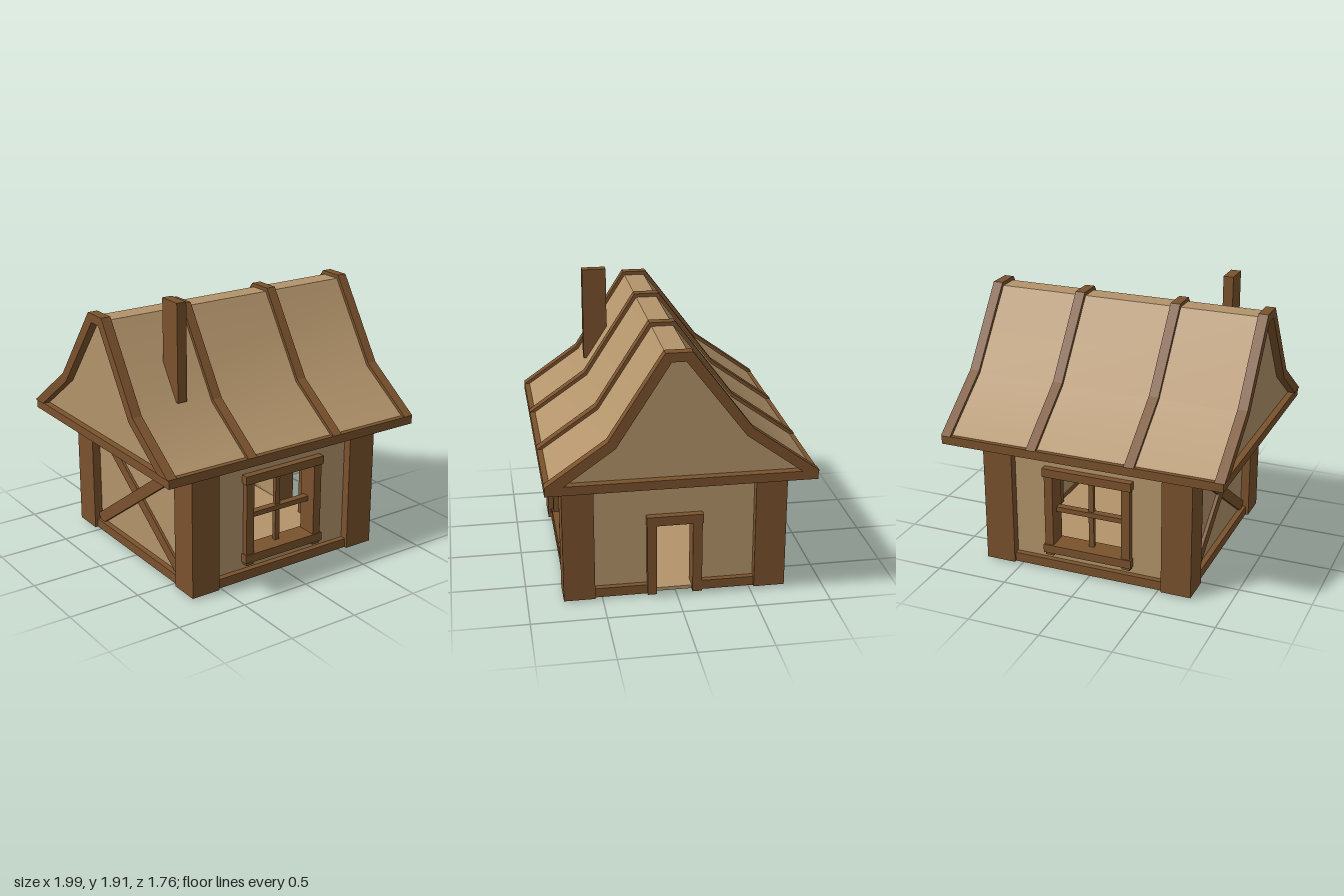
import * as THREE from 'three';
import { toCreasedNormals } from 'three/addons/utils/BufferGeometryUtils.js';

const wood = new THREE.MeshStandardMaterial({ color: 0x7a522d });
const plaster = new THREE.MeshStandardMaterial({ color: 0xb3946b });

function add(parent, name, geometry, material) {
  const mesh = new THREE.Mesh(geometry, material);
  mesh.name = name;
  parent.add(mesh);
  return mesh;
}

// Box given by its limits on each axis
function box(parent, name, [x0, x1], [y0, y1], [z0, z1], material = wood) {
  const mesh = add(parent, name, new THREE.BoxGeometry(x1 - x0, y1 - y0, z1 - z0), material);
  mesh.position.set((x0 + x1) / 2, (y0 + y1) / 2, (z0 + z1) / 2);
  return mesh;
}

const shapeOf = (points) => new THREE.Shape(points.map(([a, b]) => new THREE.Vector2(a, b)));

// Extrudes a (z, y) profile along x, centred on x = 0
function extrudeAlongX(points, width) {
  const g = new THREE.ExtrudeGeometry(shapeOf(points), { depth: width, bevelEnabled: false });
  g.translate(0, 0, -width / 2);
  return g.rotateY(-Math.PI / 2);
}

// One wall facing +z, with an optional opening, turned to its side of the house
function makeWall(name, angle, opening) {
  const side = new THREE.Group();
  side.name = name;
  side.rotation.y = angle;
  const door = opening === 'door';
  const outline = [[-0.66, 0.02], [0.66, 0.02], [0.66, 0.9], [-0.66, 0.9]];
  if (door) outline.splice(1, 0, [-0.14, 0.02], [-0.14, 0.53], [0.14, 0.53], [0.14, 0.02]);
  const shape = shapeOf(outline);
  if (opening === 'window') {
    shape.holes.push(new THREE.Path([[-0.27, 0.17], [-0.27, 0.72], [0.27, 0.72], [0.27, 0.17]]
      .map(([x, y]) => new THREE.Vector2(x, y))));
  }
  const wall = new THREE.ExtrudeGeometry(shape, { depth: 0.07, bevelEnabled: false });
  add(side, 'wallPanel', wall.translate(0, 0, 0.62), plaster);

  // Sill and head beams between the corner posts
  const spans = door ? [[-0.6, -0.13], [0.13, 0.6]] : [[-0.6, 0.6]];
  for (const span of spans) box(side, 'baseBeam', span, [0.01, 0.075], [0.62, 0.73]);
  box(side, 'headBeam', [-0.6, 0.6], [0.85, 0.9], [0.62, 0.73]);
  box(side, 'lowerHeadBeam', [-0.6, 0.6], [0.825, 0.85], [0.62, 0.71]);
  return side;
}

// Window frame with crossed glazing bars
function addWindow(side) {
  for (const s of [-1, 1]) {
    box(side, 'windowJamb', [s * 0.28 - 0.03, s * 0.28 + 0.03], [0.11, 0.74], [0.59, 0.73]);
  }
  box(side, 'windowLintel', [-0.32, 0.32], [0.7, 0.76], [0.58, 0.74]);
  box(side, 'windowSill', [-0.32, 0.32], [0.13, 0.19], [0.58, 0.74]);
  box(side, 'verticalBar', [-0.018, 0.018], [0.19, 0.7], [0.625, 0.655]);
  box(side, 'horizontalBar', [-0.25, 0.25], [0.42, 0.455], [0.62, 0.67]);
}

function addDoorway(side) {
  for (const s of [-1, 1]) {
    box(side, 'doorJamb', [s * 0.153 - 0.032, s * 0.153 + 0.032], [0, 0.53], [0.6, 0.735]);
  }
  box(side, 'doorLintel', [-0.19, 0.19], [0.51, 0.575], [0.595, 0.74]);
}

// Crossed timbers from corner to corner
function addBraces(side) {
  const angle = Math.atan2(0.76, 1.08);
  for (const s of [-1, 1]) {
    const brace = box(side, 'crossBrace', [-0.64, 0.64], [0.41, 0.49], [0.65, 0.71 + s * 0.003]);
    brace.rotation.z = s * angle;
  }
}

function makeRoof() {
  const roof = new THREE.Group();
  roof.name = 'roof';
  box(roof, 'eavesPlate', [-0.985, 0.995], [0.89, 0.95], [-0.875, 0.88]);

  // Roof body: curved slopes with closed gable ends
  const body = [[0.865, 0.935], [0.467, 1.21], [0.108, 1.765], [-0.035, 1.765], [-0.43, 1.25], [-0.865, 0.935]];
  add(roof, 'roofBody', toCreasedNormals(extrudeAlongX(body, 1.88), 0.5), plaster);

  // Rafters follow the slopes and the flat ridge
  const outer = [[0.88, 0.95], [0.48, 1.23], [0.12, 1.79], [-0.05, 1.79], [-0.44, 1.27], [-0.88, 0.95]];
  const inner = [[-0.77, 0.95], [-0.4, 1.22], [-0.01, 1.73], [0.08, 1.73], [0.43, 1.185], [0.76, 0.95]];
  for (const x of [-0.96, -0.355, 0.335, 0.963]) {
    add(roof, 'rafter', extrudeAlongX([...outer, ...inner], 0.068), wood).position.x = x;
  }
  box(roof, 'chimney', [-0.645, -0.575], [1.25, 1.91], [0.29, 0.46]);
  return roof;
}

export function createModel() {
  const house = new THREE.Group();
  house.name = 'cottage';

  const base = new THREE.Group();
  base.name = 'houseBody';
  base.position.set(0.01, 0, 0.01);
  house.add(base);

  box(base, 'floor', [-0.7, 0.7], [0.006, 0.03], [-0.7, 0.7], plaster);
  for (const sx of [-1, 1]) {
    for (const sz of [-1, 1]) {
      const post = box(base, 'cornerPost', [-0.105, 0.105], [0.01, 0.9], [-0.105, 0.105]);
      post.position.x = sx * 0.645;
      post.position.z = sz * 0.645;
    }
  }

  const front = makeWall('frontWall', 0, 'window');
  const back = makeWall('backWall', Math.PI, 'window');
  const left = makeWall('leftWall', Math.PI / 2, 'door');
  const right = makeWall('rightWall', -Math.PI / 2);
  addWindow(front);
  addWindow(back);
  addDoorway(left);
  addBraces(right);
  base.add(front, back, left, right);

  house.add(makeRoof());
  return house;
}
